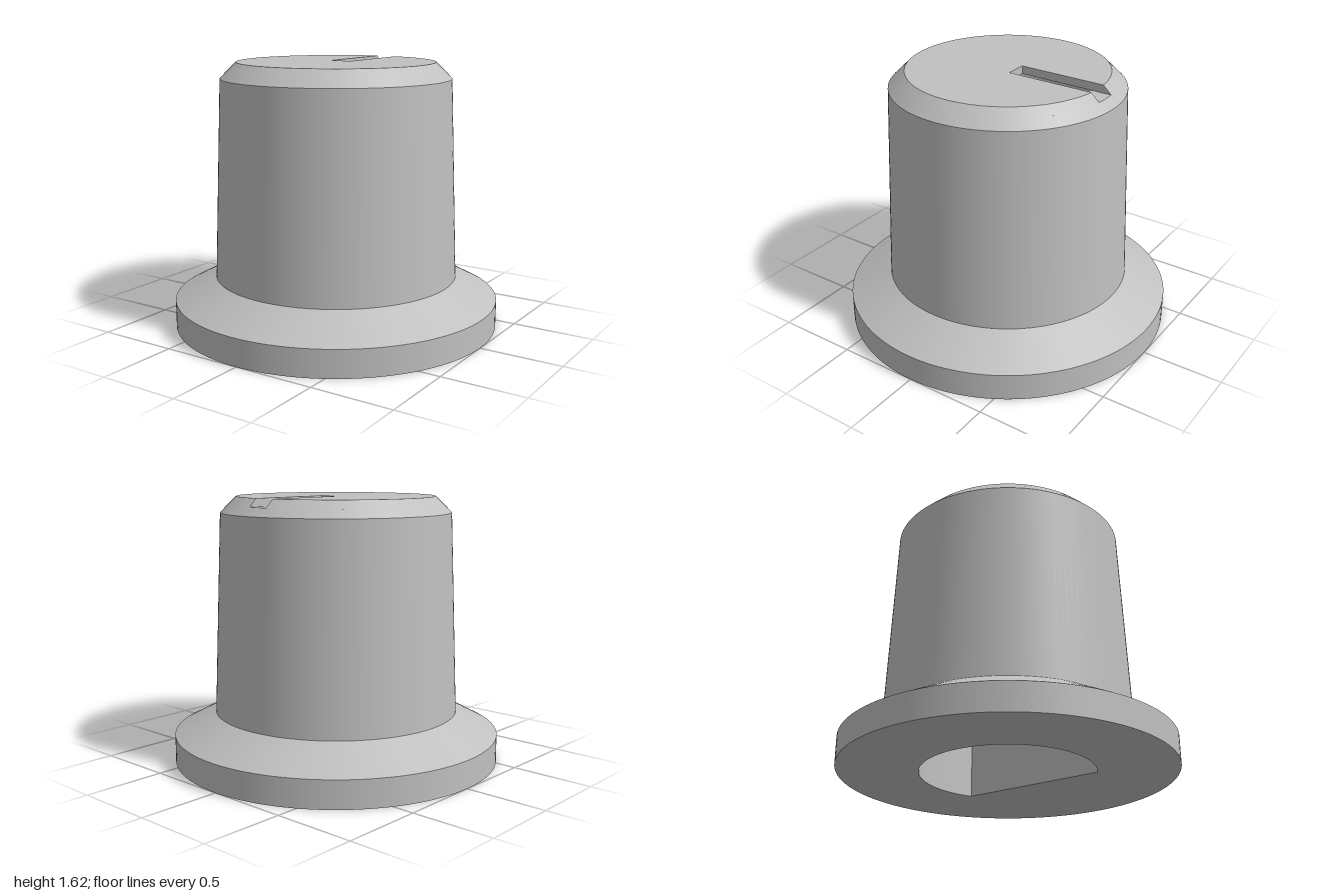
import * as THREE from 'three';

const SEG = 128;
const TOP = 1.615, FLOOR = 1.567;            // cap height, slot floor and bore ceiling
const CAP_R = 0.6, EDGE_R = 0.65, BORE_R = 0.52;
const W = 0.067, SLOT_END = 0.055;           // slot half width, inner end (towards the back)
const D_START = THREE.MathUtils.degToRad(55), D_SWEEP = THREE.MathUtils.degToRad(240);

// Turn a surface inside out
function flip(geo) {
  const idx = geo.index.array, n = geo.attributes.normal.array;
  for (let i = 0; i < idx.length; i += 3) [idx[i], idx[i + 1]] = [idx[i + 1], idx[i]];
  for (let i = 0; i < n.length; i++) n[i] = -n[i];
  return geo;
}

// Horizontal face from a plan shape (shape x = x, shape y = -z)
function flat(shape, y, down = false) {
  const geo = new THREE.ShapeGeometry(shape, SEG).rotateX(-Math.PI / 2).translate(0, y, 0);
  return down ? flip(geo) : geo;
}

// Half angle that the slot takes up at a given radius
const gap = (r) => Math.asin(W / r);

export function createModel() {
  const group = new THREE.Group();
  const grey = new THREE.MeshStandardMaterial({ color: 0xc0c0c0, side: THREE.DoubleSide });
  grey.name = 'grey plastic';
  const add = (name, geo) => {
    const mesh = new THREE.Mesh(geo, grey);
    mesh.name = name;
    group.add(mesh);
  };

  // Turned outer bands, kept separate so their edges stay sharp
  const profile = [[1, 0], [1, 0.167], [0.747, 0.302], [0.699, 1.518], [EDGE_R, FLOOR]];
  ['flangeRim', 'flangeSlope', 'gripBody', 'lowerChamfer'].forEach((name, i) => {
    const pts = [profile[i], profile[i + 1]].map(([r, y]) => new THREE.Vector2(r, y));
    add(name, new THREE.LatheGeometry(pts, SEG));
  });

  // Upper chamfer, broken where the slot runs out
  const g = gap(EDGE_R);
  const chamfer = new THREE.CylinderGeometry(CAP_R, EDGE_R, TOP - FLOOR, SEG, 1, true,
    Math.PI + g, 2 * Math.PI - 2 * g);
  const capZ = -Math.sqrt(CAP_R ** 2 - W ** 2);
  chamfer.attributes.position.setX(0, -W).setZ(0, capZ).setX(SEG, W).setZ(SEG, capZ);
  add('upperChamfer', chamfer.translate(0, (TOP + FLOOR) / 2, 0));

  // Top face with the slot cut in from its rim
  const cap = new THREE.Shape();
  cap.moveTo(-W, SLOT_END);
  cap.lineTo(W, SLOT_END);
  cap.absarc(0, 0, CAP_R, Math.PI / 2 - gap(CAP_R), Math.PI / 2 + gap(CAP_R), true);
  cap.closePath();
  add('topFace', flat(cap, TOP));

  // Slot walls, end and the short floor outside the bore
  const wall = new THREE.Shape([
    new THREE.Vector2(SLOT_END, FLOOR),
    new THREE.Vector2(Math.sqrt(EDGE_R ** 2 - W ** 2), FLOOR),
    new THREE.Vector2(-capZ, TOP),
    new THREE.Vector2(SLOT_END, TOP),
  ]);
  for (const side of [-1, 1]) {
    const geo = new THREE.ShapeGeometry(wall).rotateY(Math.PI / 2).translate(side * W, 0, 0);
    add('slotWall', side > 0 ? flip(geo) : geo);
  }
  add('slotEnd', new THREE.PlaneGeometry(2 * W, TOP - FLOOR).rotateY(Math.PI)
    .translate(0, (TOP + FLOOR) / 2, -SLOT_END));
  const floor = new THREE.Shape();
  floor.absarc(0, 0, EDGE_R, Math.PI / 2 - g, Math.PI / 2 + g, false);
  floor.absarc(0, 0, BORE_R, Math.PI / 2 + gap(BORE_R), Math.PI / 2 - gap(BORE_R), true);
  floor.closePath();
  add('slotFloor', flat(floor, FLOOR));

  // D-shaped shaft bore: round wall, flat wall and ceiling open to the slot
  add('boreWall', flip(new THREE.CylinderGeometry(BORE_R, BORE_R, FLOOR, SEG, 1, true,
    D_START + Math.PI / 2, D_SWEEP).translate(0, FLOOR / 2, 0)));
  const mid = D_START + D_SWEEP / 2 + Math.PI;
  const half = Math.PI - D_SWEEP / 2;
  const dist = BORE_R * Math.cos(half);
  add('boreFlat', new THREE.PlaneGeometry(2 * BORE_R * Math.sin(half), FLOOR)
    .translate(0, FLOOR / 2, -dist).rotateY(mid - Math.PI / 2));
  const ceiling = new THREE.Shape();
  ceiling.absarc(0, 0, BORE_R, D_START, Math.PI / 2 - gap(BORE_R), false);
  ceiling.lineTo(W, SLOT_END);
  ceiling.lineTo(-W, SLOT_END);
  ceiling.absarc(0, 0, BORE_R, Math.PI / 2 + gap(BORE_R), D_START + D_SWEEP, false);
  ceiling.closePath();
  add('boreCeiling', flat(ceiling, FLOOR, true));

  // Underside ring around the bore
  const base = new THREE.Shape().absarc(0, 0, 1, 0, Math.PI * 2, false);
  const bore = new THREE.Path().absarc(0, 0, BORE_R, D_START, D_START + D_SWEEP, false);
  bore.closePath();
  base.holes.push(bore);
  add('underside', flat(base, 0, true));

  return group;
}
